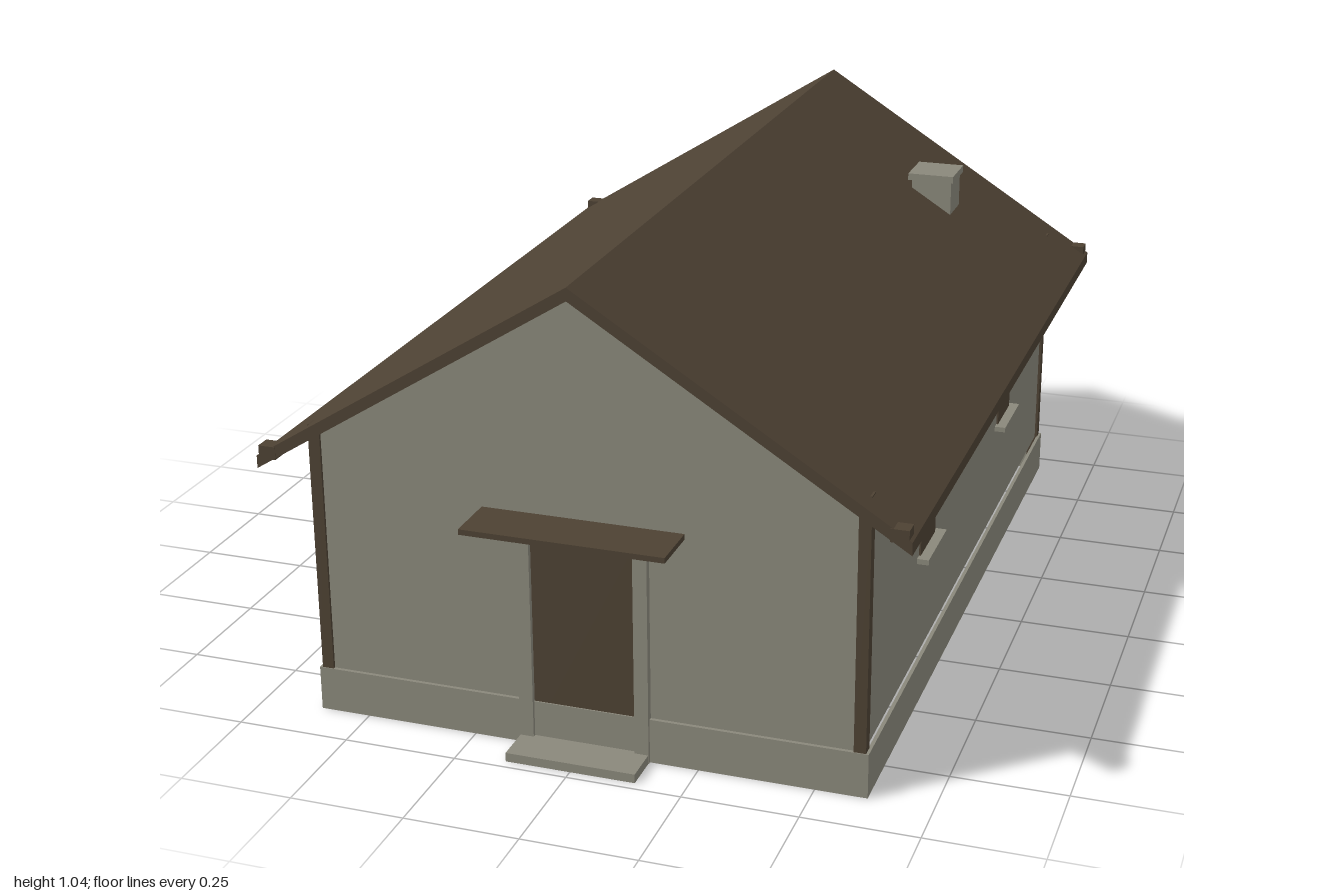
import * as THREE from 'three';

const grey = new THREE.MeshStandardMaterial({ color: 0x8a887b });
grey.name = 'stoneGrey';
const brown = new THREE.MeshStandardMaterial({ color: 0x4d4133 });
brown.name = 'darkWood';

const MID_Z = -0.025;      // centre of the house body along z
const FRONT = 0.88, BACK = -0.93;

// Box given by its minimum and maximum on each axis
function box(parent, name, mat, [x0, x1], [y0, y1], [z0, z1]) {
  const mesh = new THREE.Mesh(new THREE.BoxGeometry(x1 - x0, y1 - y0, z1 - z0), mat);
  mesh.position.set((x0 + x1) / 2, (y0 + y1) / 2, (z0 + z1) / 2);
  mesh.name = name;
  parent.add(mesh);
  return mesh;
}

// Outline in the xy plane pushed from z0 to z1
function prism(parent, name, mat, points, z0, z1) {
  const shape = new THREE.Shape(points.map(([x, y]) => new THREE.Vector2(x, y)));
  const geo = new THREE.ExtrudeGeometry(shape, { depth: z1 - z0, bevelEnabled: false });
  const mesh = new THREE.Mesh(geo, mat);
  mesh.position.z = z0;
  mesh.name = name;
  parent.add(mesh);
  return mesh;
}

// Hollow base ring, open underneath
function plinth(parent) {
  const rect = (P, hx, z0, z1) => {
    const p = new P();
    p.moveTo(-hx, -z0).lineTo(-hx, -z1).lineTo(hx, -z1).lineTo(hx, -z0).closePath();
    return p;
  };
  const shape = rect(THREE.Shape, 0.612, -0.938, 0.888);
  shape.holes.push(rect(THREE.Path, 0.604, -0.93, 0.88));
  const geo = new THREE.ExtrudeGeometry(shape, { depth: 0.1, bevelEnabled: false });
  geo.rotateX(-Math.PI / 2);
  const mesh = new THREE.Mesh(geo, grey);
  mesh.name = 'plinth';
  parent.add(mesh);
}

// Window facing +z, with its wall plane at z = 0
function makeWindow() {
  const g = new THREE.Group();
  g.name = 'window';
  box(g, 'windowPane', brown, [-0.067, 0.067], [0.342, 0.506], [-0.004, 0.004]);
  box(g, 'windowLintel', brown, [-0.085, 0.085], [0.506, 0.528], [-0.005, 0.018]);
  box(g, 'windowSill', grey, [-0.085, 0.085], [0.33, 0.342], [-0.005, 0.026]);
  return g;
}

export function createModel() {
  const house = new THREE.Group();
  house.name = 'house';

  // Body
  plinth(house);
  prism(house, 'walls', grey,
    [[-0.6, 0.1], [0.6, 0.1], [0.6, 0.638], [0, 1.016], [-0.6, 0.638]], BACK, FRONT);

  // Roof with plumb-cut eaves
  prism(house, 'roof', brown,
    [[-0.7, 0.574], [0, 1.014], [0.7, 0.574], [0.7, 0.602], [0, 1.042], [-0.7, 0.602]], -0.995, 0.938);

  for (const s of [-1, 1]) {
    const span = (a, b) => (s > 0 ? [a, b] : [-b, -a]);
    // Corner posts, the rear ones reaching the ground
    box(house, 'frontCornerPost', brown, span(0.58, 0.606), [0.1, 0.664], [0.86, 0.886]);
    box(house, 'backCornerPost', brown, span(0.58, 0.606), [0.002, 0.664], [-0.936, -0.91]);
    // Blocks on the eave ends
    box(house, 'frontEaveBlock', brown, span(0.656, 0.694), [0.598, 0.626], [0.904, 0.939]);
    box(house, 'backEaveBlock', brown, span(0.656, 0.694), [0.598, 0.626], [-0.996, -0.961]);
    // Door jambs
    box(house, 'doorJamb', grey, span(0.113, 0.144), [0, 0.49], [0.87, 0.896]);
    // Side windows
    for (const z of [0.373, -0.43]) {
      const w = makeWindow();
      w.position.set(s * 0.6, 0, z);
      w.rotation.y = s * Math.PI / 2;
      house.add(w);
    }
    // Back windows
    const w = makeWindow();
    w.position.set(s * 0.304, 0, BACK);
    w.rotation.y = Math.PI;
    house.add(w);
  }

  // Entrance
  box(house, 'door', brown, [-0.115, 0.115], [0.025, 0.488], [0.865, 0.885]);
  box(house, 'doorLintel', brown, [-0.15, 0.15], [0.488, 0.516], [0.87, 0.902]);
  box(house, 'doorCanopy', brown, [-0.22, 0.22], [0.516, 0.528], [0.875, 1.0]);
  box(house, 'doorstep', grey, [-0.143, 0.143], [0, 0.02], [0.885, 0.978]);

  // Chimney
  box(house, 'chimney', grey, [0.31, 0.41], [0.76, 0.87], [-0.718, -0.62]);
  box(house, 'chimneyCap', grey, [0.302, 0.416], [0.868, 0.885], [-0.727, -0.611]);

  return house;
}
